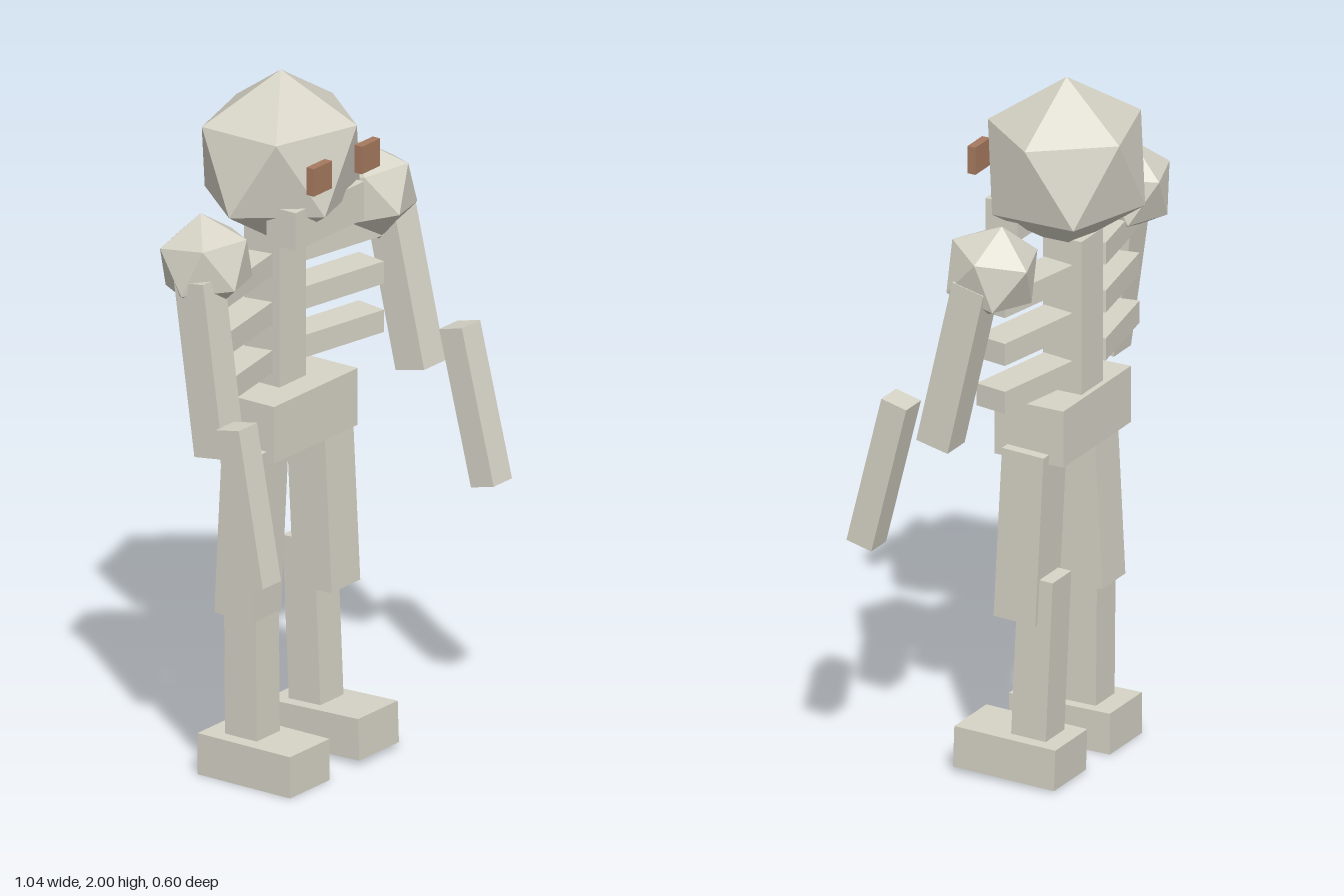
import * as THREE from 'three';
import { ConvexGeometry } from 'three/addons/geometries/ConvexGeometry.js';

const mat = (name, color) => {
  const m = new THREE.MeshStandardMaterial({ color });
  m.name = name;
  return m;
};

// Icosahedron of radius 1 standing on one of its corners
function poleIcosahedron() {
  const h = 1 / Math.sqrt(5), r = 2 * h;
  const pts = [new THREE.Vector3(0, 1, 0), new THREE.Vector3(0, -1, 0)];
  for (let i = 0; i < 5; i++) {
    const a = (i * 2 * Math.PI) / 5;
    pts.push(new THREE.Vector3(r * Math.cos(a), h, r * Math.sin(a)));
    pts.push(new THREE.Vector3(-r * Math.cos(a), -h, -r * Math.sin(a)));
  }
  return new ConvexGeometry(pts);
}

export function createModel() {
  const model = new THREE.Group();
  model.name = 'skeleton';
  const bone = mat('bone', 0xd6d3c6);
  const brown = mat('eye brown', 0xa67a5f);
  const deg = Math.PI / 180;

  // swing: degrees the lower end is turned forward; yaw: turn about the upright axis
  const place = (geo, material, name, pos, swing = 0, yaw = 0) => {
    const mesh = new THREE.Mesh(geo, material);
    mesh.name = name;
    mesh.position.set(...pos);
    mesh.rotation.set(-swing * deg, yaw * deg, 0);
    model.add(mesh);
    return mesh;
  };
  const box = (name, size, pos, swing, yaw, material = bone) =>
    place(new THREE.BoxGeometry(...size), material, name, pos, swing, yaw);
  const ball = (name, radii, pos, swing) =>
    place(poleIcosahedron().scale(...radii), bone, name, pos, swing);

  // Head
  ball('skull', [0.263, 0.251, 0.241], [0, 1.749, -0.1]);
  box('jaw', [0.31, 0.11, 0.1], [0, 1.61, 0.017]);
  for (const [side, s] of [['left', 1], ['right', -1]])
    box(side + 'Eye', [0.083, 0.08, 0.025], [s * 0.109, 1.765, 0.113], 0, 0, brown);

  // Trunk
  box('spine', [0.12, 0.45, 0.12], [0, 1.325, -0.12]);
  box('pelvis', [0.38, 0.165, 0.215], [0, 1.018, -0.088]);
  for (const s of [1, -1])
    for (let i = 0; i < 3; i++)
      box('rib', [0.29, 0.065, 0.1], [s * 0.227, 1.46 - i * 0.141, -0.095], 0, -s * 10.5);

  // Arms, each with its own swing
  ball('leftShoulder', [0.14, 0.14, 0.14], [0.36, 1.55, -0.067], 13);
  ball('rightShoulder', [0.14, 0.14, 0.14], [-0.36, 1.55, -0.084], 8);
  box('leftUpperArm', [0.097, 0.498, 0.1], [0.424, 1.29, 0.002], 13);
  box('rightUpperArm', [0.097, 0.498, 0.1], [-0.428, 1.282, -0.022], 8);
  box('leftForearm', [0.083, 0.45, 0.08], [0.478, 0.952, 0.205], 14);
  box('rightForearm', [0.083, 0.45, 0.08], [-0.48, 0.93, 0.15], 10.5);

  // Legs in a slight stride
  box('leftThigh', [0.13, 0.5, 0.13], [0.156, 0.718, -0.073], 3);
  box('rightThigh', [0.13, 0.5, 0.13], [-0.156, 0.718, -0.083], -3);
  box('leftShin', [0.105, 0.48, 0.108], [0.157, 0.36, -0.108], 2.6);
  box('rightShin', [0.105, 0.48, 0.108], [-0.153, 0.36, -0.084], 0.5);
  box('leftFoot', [0.18, 0.12, 0.315], [0.158, 0.07, -0.043], 2);
  box('rightFoot', [0.18, 0.12, 0.315], [-0.158, 0.06, -0.04]);

  return model;
}
